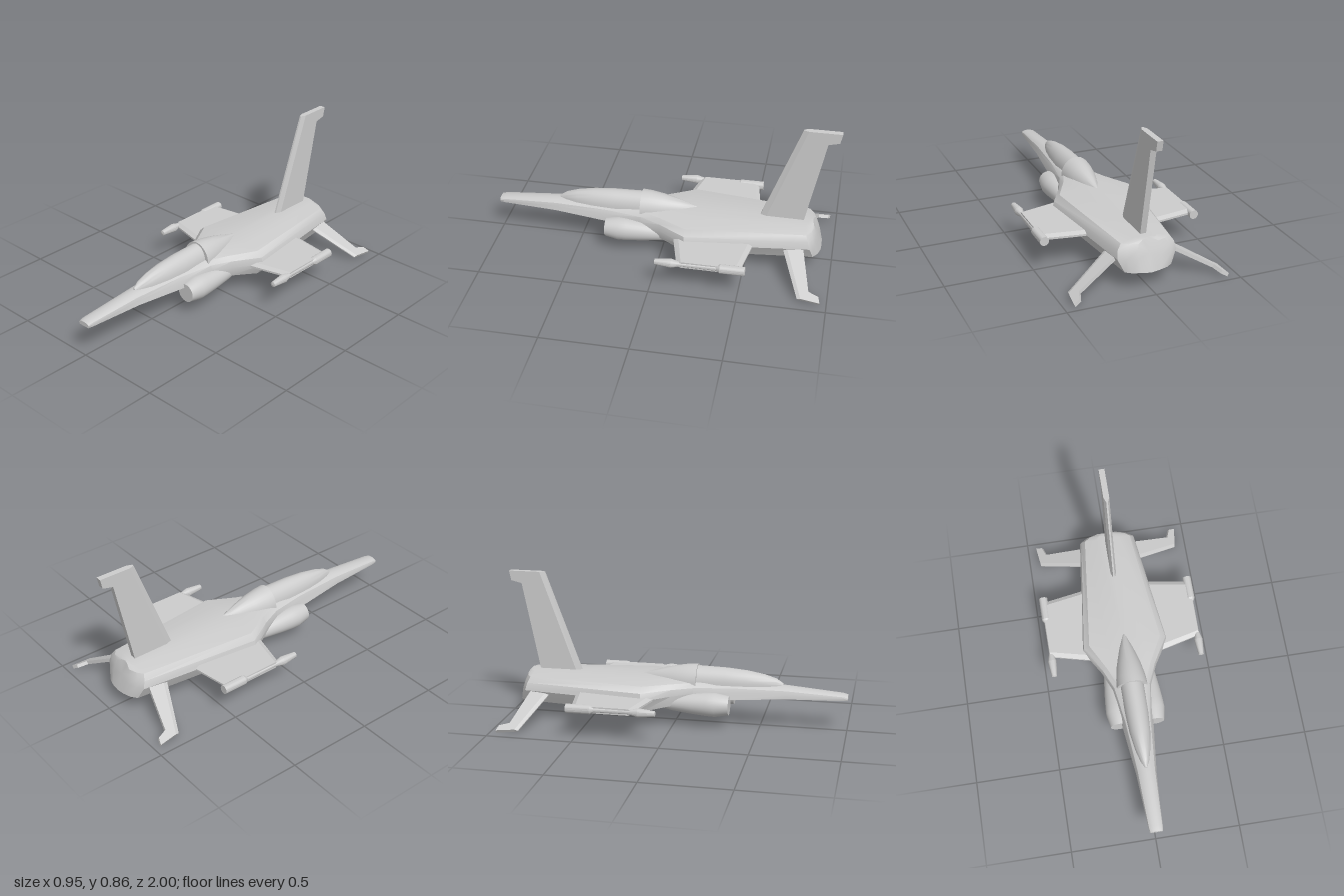
import * as THREE from 'three';
import { toCreasedNormals } from 'three/addons/utils/BufferGeometryUtils.js';

const material = new THREE.MeshStandardMaterial({ color: 0xcccccc });

function part(name, geometry) {
  const mesh = new THREE.Mesh(geometry, material);
  mesh.name = name;
  return mesh;
}

// Closed skin over rings of [x, y, z], ordered front to back, counter-clockwise from the front
function loft(rings, crease = 0.5) {
  const n = rings[0].length, pos = rings.flat(2), index = [];
  for (let r = 0; r < rings.length - 1; r++) {
    for (let i = 0; i < n; i++) {
      const a = r * n + i, b = r * n + (i + 1) % n;
      index.push(a, a + n, b + n, a, b + n, b);
    }
  }
  const last = rings.length - 1;
  for (const r of [0, last]) {
    const c = pos.length / 3;
    for (let k = 0; k < 3; k++) pos.push(rings[r].reduce((s, p) => s + p[k], 0) / n);
    for (let i = 0; i < n; i++) {
      const a = r * n + i, b = r * n + (i + 1) % n;
      index.push(c, r ? b : a, r ? a : b);
    }
  }
  const g = new THREE.BufferGeometry();
  g.setAttribute('position', new THREE.Float32BufferAttribute(pos, 3));
  g.setIndex(index);
  return toCreasedNormals(g, crease);
}

// Flat plate of thickness t; corners listed in thin are narrowed to a sharp edge
function plate(outline, t, thin = []) {
  const g = new THREE.ExtrudeGeometry(
    new THREE.Shape(outline.map(([x, y]) => new THREE.Vector2(x, y))),
    { depth: t, bevelEnabled: false });
  g.translate(0, 0, -t / 2);
  const p = g.attributes.position;
  for (let i = 0; i < p.count; i++) {
    if (thin.some(k => Math.hypot(outline[k][0] - p.getX(i), outline[k][1] - p.getY(i)) < 1e-4))
      p.setZ(i, p.getZ(i) * 0.3);
  }
  g.computeVertexNormals();
  return g;
}

// Round body along z from [z, radius] pairs, back to front
function turned(profile, sides = 24) {
  const g = new THREE.LatheGeometry(profile.map(([z, r]) => new THREE.Vector2(r, z)), sides);
  return toCreasedNormals(g.rotateX(Math.PI / 2), 0.5);
}

// Full fuselage ring: shoulder, widest and belly half widths, top and bottom heights
function bodyRing([z, shoulder, wide, belly, top, bottom]) {
  const h = top - bottom;
  const half = [
    [0, top, z], [shoulder * 0.5, top - h * 0.03, z], [shoulder, top - h * 0.12, z],
    [shoulder + (wide - shoulder) * 0.75, top - h * 0.3, z],
    [wide, top - h * 0.55, z], [belly, bottom + h * 0.04, z], [0, bottom, z],
  ];
  return [...half].reverse().concat(half.slice(1, -1).map(([x, y, w]) => [-x, y, w]));
}

function fuselage() {
  const rings = [
    [1.0, 0.025, 0.038, 0.035, 0.215, 0.188],
    [0.97, 0.03, 0.042, 0.04, 0.222, 0.187],
    [0.65, 0.035, 0.055, 0.06, 0.25, 0.182],
    [0.33, 0.045, 0.085, 0.095, 0.265, 0.166],
    [0.12, 0.08, 0.115, 0.11, 0.27, 0.145],
    [0, 0.13, 0.165, 0.15, 0.273, 0.125],
    [-0.16, 0.215, 0.26, 0.22, 0.278, 0.1],
  ].map(bodyRing);
  // Slanted, bulging tail end
  const tail = bodyRing([-0.84, 0.14, 0.17, 0.135, 0.274, 0.097]);
  for (const [sx, dz] of [[1, 0], [0.75, 0.025], [0.4, 0.04]]) {
    rings.push(tail.map(([x, y]) =>
      [x * sx, y, -0.835 - dz - 0.06 * Math.pow((0.274 - y) / 0.177, 0.7)]));
  }
  return loft(rings);
}

// Half-round hood from [z, half width, top height]
function hood(stations, base) {
  const n = 16;
  return loft(stations.map(([z, w, top]) => Array.from({ length: n + 1 }, (_, i) => {
    const a = Math.PI * i / n;
    return [w * Math.cos(a), base + (top - base) * Math.sin(a), z];
  })), 0.6);
}

export function createModel() {
  const model = new THREE.Group();
  model.name = 'jet';
  model.add(part('fuselage', fuselage()));

  // Cockpit glass and the fairing behind it
  model.add(part('canopy', hood([[0.63, 0.008, 0.26], [0.59, 0.026, 0.287], [0.52, 0.044, 0.308],
    [0.42, 0.06, 0.325], [0.3, 0.068, 0.335], [0.1, 0.07, 0.34]], 0.245)));
  model.add(part('canopyFairing', hood([[0.13, 0.093, 0.348], [0.08, 0.09, 0.345], [0, 0.077, 0.332],
    [-0.1, 0.05, 0.307], [-0.17, 0.026, 0.286], [-0.215, 0.006, 0.272]], 0.24)));

  // Upright fin, drawn as [aft, height]
  const fin = new THREE.Group();
  fin.name = 'tailFin';
  const finBody = [[0.6, 0.26], [0.815, 0.857], [1, 0.857], [0.988, 0.8], [0.925, 0.785], [0.82, 0.26]];
  const finEdge = [[0.565, 0.26], [0.785, 0.857], [0.815, 0.857], [0.6, 0.26]];
  fin.add(part('finPanel', plate(finBody, 0.034).rotateY(Math.PI / 2)),
    part('finLeadingEdge', plate(finEdge, 0.034, [0, 1]).rotateY(Math.PI / 2)));
  model.add(fin);

  for (const s of [1, -1]) {
    const side = s > 0 ? 'left' : 'right';
    const flat = (pts, t, thin) =>
      plate(pts.map(([x, aft]) => [s * x, aft]), t, thin).rotateX(-Math.PI / 2);

    const intake = part(side + 'Engine', turned([[-0.12, 0.02], [0, 0.047], [0.12, 0.061], [0.2, 0.068],
      [0.25, 0.07], [0.33, 0.055], [0.33, 0]], 28));
    intake.position.set(s * 0.106, 0.14, 0);
    model.add(intake);

    // Wing with tapered leading and trailing edges, drawn as [span, aft]
    const wing = new THREE.Group();
    wing.name = side + 'Wing';
    wing.position.y = 0.18;
    wing.add(
      part('wingPanel', flat([[0.12, 0.1], [0.455, 0.18], [0.455, 0.485], [0.12, 0.54]], 0.038)),
      part('wingLeadingEdge', flat([[0.12, 0.07], [0.455, 0.155], [0.455, 0.18], [0.12, 0.1]], 0.038, [0, 1])),
      part('wingTrailingEdge', flat([[0.12, 0.54], [0.455, 0.485], [0.455, 0.51], [0.12, 0.565]], 0.038, [2, 3])));

    // Wingtip store: rear pod, slim rod and nose
    const store = part('wingtipStore', turned([[-0.54, 0], [-0.54, 0.026], [-0.4, 0.026], [-0.38, 0.014],
      [-0.18, 0.012], [-0.125, 0.026], [-0.03, 0.016], [-0.025, 0]], 16));
    store.position.x = s * 0.448;
    wing.add(store);
    model.add(wing);

    // Drooping tailplane
    const droop = Math.atan(0.12 / 0.21), k = 1 / Math.cos(droop);
    const span = pts => pts.map(([x, aft]) => [x * k, aft]);
    const tail = new THREE.Group();
    tail.name = side + 'Tailplane';
    tail.position.y = 0.262;
    tail.rotation.z = -s * droop;
    tail.add(
      part('tailplanePanel', flat(span([[0.13, 0.73], [0.43, 0.855], [0.443, 0.963], [0.408, 0.952],
        [0.388, 0.895], [0.13, 0.83]]), 0.02)),
      part('tailplaneLeadingEdge', flat(span([[0.13, 0.705], [0.43, 0.835], [0.43, 0.855], [0.13, 0.73]]),
        0.02, [0, 1])));
    model.add(tail);
  }
  return model;
}
